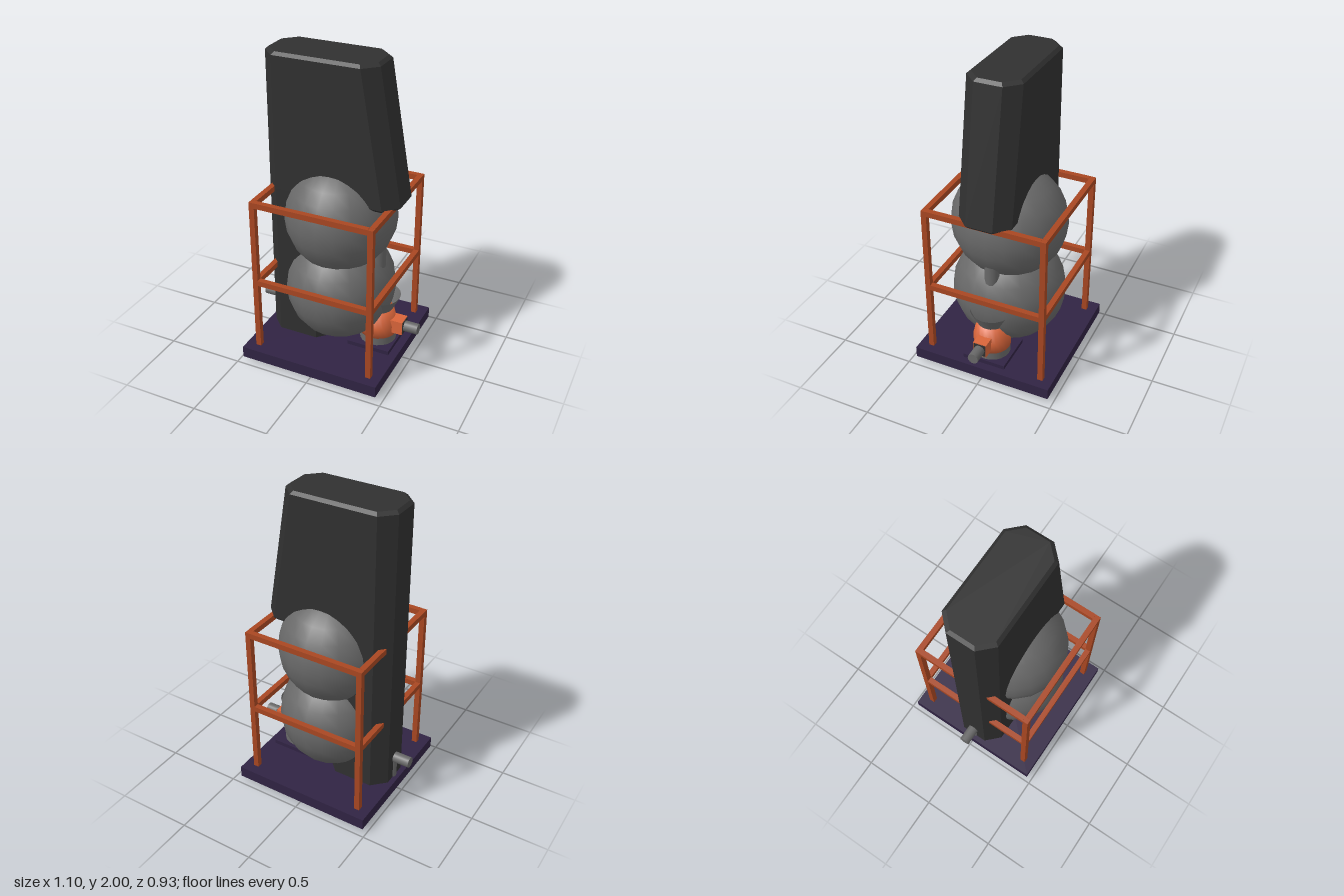
import * as THREE from 'three';

const mat = (name, color) => {
  const m = new THREE.MeshStandardMaterial({ color });
  m.name = name;
  return m;
};

// Stack of chamfered rectangles: each section is [y, x0, x1, halfDepth, chamfer]
function chamferedLoft(sections) {
  const rings = sections.map(([y, x0, x1, h, c]) => [
    [x1, h - c], [x1, -h + c], [x1 - c, -h], [x0 + c, -h],
    [x0, -h + c], [x0, h - c], [x0 + c, h], [x1 - c, h],
  ].map(([x, z]) => [x, y, z]));
  const pos = [];
  const tri = (...p) => p.forEach((v) => pos.push(...v));
  for (let k = 0; k < rings.length - 1; k++) {
    const a = rings[k], b = rings[k + 1];
    for (let i = 0; i < 8; i++) {
      const j = (i + 1) % 8;
      tri(a[i], a[j], b[j]);
      tri(a[i], b[j], b[i]);
    }
  }
  const lo = rings[0], hi = rings[rings.length - 1];
  for (let i = 1; i < 7; i++) {
    tri(lo[0], lo[i + 1], lo[i]);
    tri(hi[0], hi[i], hi[i + 1]);
  }
  const g = new THREE.BufferGeometry();
  g.setAttribute('position', new THREE.Float32BufferAttribute(pos, 3));
  g.computeVertexNormals();
  return g;
}

export function createModel() {
  const root = new THREE.Group();
  root.name = 'tankUnit';
  const black = mat('housingBlack', 0x303030);
  const grey = mat('metalGrey', 0x686868);
  const funnelGrey = mat('funnelGrey', 0x686868);
  funnelGrey.side = THREE.DoubleSide;
  const rust = mat('frameRust', 0xa84722);
  const orange = mat('pumpOrange', 0xd9653a);
  const purple = mat('basePurple', 0x302343);

  const add = (name, geo, material, x = 0, y = 0, z = 0, parent = root) => {
    const m = new THREE.Mesh(geo, material);
    m.name = name;
    m.position.set(x, y, z);
    parent.add(m);
    return m;
  };
  // Box given by its limits
  const box = (name, material, x0, x1, y0, y1, z0, z1, parent) =>
    add(name, new THREE.BoxGeometry(x1 - x0, y1 - y0, z1 - z0), material,
      (x0 + x1) / 2, (y0 + y1) / 2, (z0 + z1) / 2, parent);

  // Base slab
  box('baseSlab', purple, -0.475, 0.455, 0.025, 0.1, -0.466, 0.466);

  // Tower: narrow column below, overhanging tapered head above
  add('towerColumn', chamferedLoft([
    [0.004, -0.422, -0.03, 0.152, 0.078],
    [0.022, -0.44, -0.01, 0.172, 0.085],
    [1.14, -0.44, -0.01, 0.172, 0.085],
  ]), black);
  add('towerHead', chamferedLoft([
    [1.12, -0.44, 0.41, 0.152, 0.078],
    [1.14, -0.44, 0.43, 0.172, 0.085],
    [1.982, -0.44, 0.285, 0.172, 0.085],
    [2.0, -0.42, 0.265, 0.152, 0.078],
  ]), black);
  add('towerFootPlate', chamferedLoft([
    [0, -0.422, -0.03, 0.152, 0.078],
    [0.004, -0.422, -0.03, 0.152, 0.078],
  ]), rust);

  // Two merged round tanks
  [['lowerTank', 0.472], ['upperTank', 0.973]].forEach(([name, y]) => {
    const tank = add(name, new THREE.SphereGeometry(0.362, 20, 12), grey, 0.008, y, 0);
    tank.scale.set(0.97, 1, 1.02);
  });
  add('tankLinkPipe', new THREE.CylinderGeometry(0.048, 0.048, 0.55, 12), grey, 0.262, 0.73, 0);

  // Cage: four posts and two rings of rails
  const cage = new THREE.Group();
  cage.name = 'cage';
  root.add(cage);
  const X0 = -0.411, X1 = 0.393, Z = 0.403, T = 0.035;
  for (const x of [X0, X1 - T]) {
    for (const z of [-Z, Z - T]) box('cagePost', rust, x, x + T, 0.1, 1.14, z, z + T, cage);
  }
  for (const y of [0.56, 1.105]) {
    for (const z of [-Z, Z - T]) box('cageRail', rust, X0 + T, X1 - T, y, y + 0.036, z, z + T, cage);
    for (const x of [X0, X1 - T]) box('cageSideRail', rust, x, x + T, y, y + 0.036, -Z + T, Z - T, cage);
  }

  // Pump with its foot, body, funnel and outlet
  const pump = new THREE.Group();
  pump.name = 'pump';
  root.add(pump);
  const px = 0.272;
  box('pumpPlate', purple, 0.12, 0.403, 0.1, 0.127, -0.143, 0.143, pump);
  add('pumpFoot', new THREE.CylinderGeometry(0.118, 0.118, 0.055, 20), grey, px, 0.153, 0, pump);
  const bodyProfile = [[0, 0.18], [0.12, 0.18], [0.122, 0.25], [0.098, 0.355], [0, 0.355]]
    .map(([r, y]) => new THREE.Vector2(r, y));
  add('pumpBody', new THREE.LatheGeometry(bodyProfile, 20), orange, px, 0, 0, pump);
  add('pumpFunnel', new THREE.CylinderGeometry(0.14, 0.093, 0.095, 20, 1, true), funnelGrey, px, 0.402, 0, pump);
  box('outletBlock', orange, 0.33, 0.453, 0.207, 0.3, -0.045, 0.045, pump);
  box('outletPlate', black, 0.453, 0.457, 0.212, 0.295, -0.041, 0.041, pump);

  // Side pipes
  const sidePipe = (name, x0, x1) => {
    const p = add(name, new THREE.CylinderGeometry(0.035, 0.035, x1 - x0, 14), grey, (x0 + x1) / 2, 0.254, 0);
    p.rotation.z = Math.PI / 2;
  };
  sidePipe('outletPipe', 0.44, 0.547);
  sidePipe('inletPipe', -0.549, -0.42);
  add('inletDropPipe', new THREE.CylinderGeometry(0.032, 0.032, 0.16, 12), grey, -0.42, 0.18, 0);

  return root;
}
